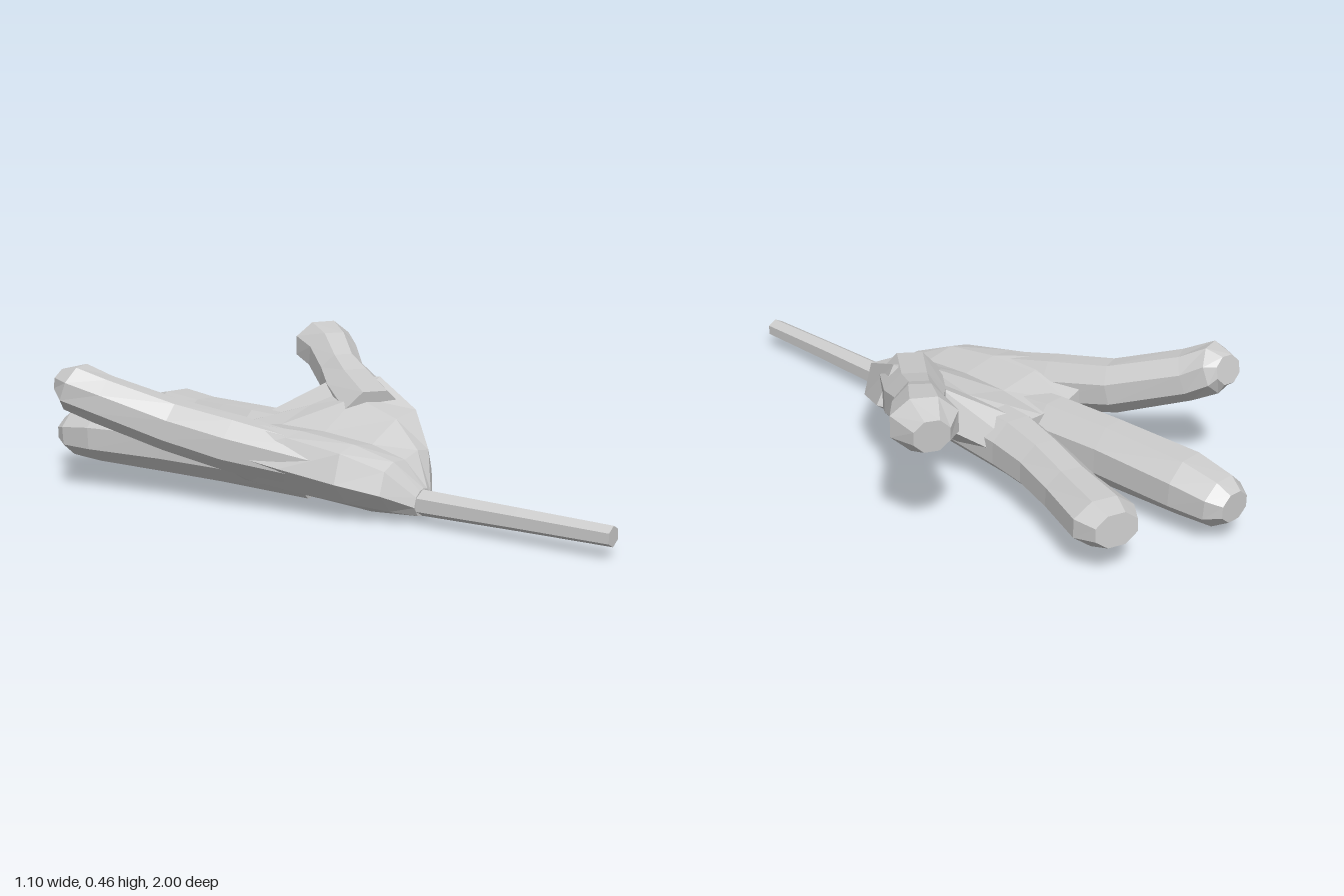
import * as THREE from 'three';

const material = new THREE.MeshStandardMaterial({ color: 0xcccccc, flatShading: true });

// Skin a list of rings (arrays of Vector3) and close both ends with fans.
function loft(name, rings) {
  const n = rings[0].length, pos = [], index = [];
  rings.forEach(r => r.forEach(p => pos.push(p.x, p.y, p.z)));
  for (let j = 0; j < rings.length - 1; j++) {
    for (let i = 0; i < n; i++) {
      const k = (i + 1) % n, a = j * n + i, b = j * n + k;
      index.push(a, a + n, b + n, a, b + n, b);
    }
  }
  [0, rings.length - 1].forEach(j => {
    const c = new THREE.Vector3();
    rings[j].forEach(p => c.addScaledVector(p, 1 / n));
    const m = pos.length / 3;
    pos.push(c.x, c.y, c.z);
    for (let i = 0; i < n; i++) {
      const a = j * n + i, b = j * n + (i + 1) % n;
      if (j === 0) index.push(m, a, b); else index.push(m, b, a);
    }
  });
  const g = new THREE.BufferGeometry();
  g.setAttribute('position', new THREE.Float32BufferAttribute(pos, 3));
  g.setIndex(index);
  g.computeVertexNormals();
  const mesh = new THREE.Mesh(g, material);
  mesh.name = name;
  return mesh;
}

// Tube with an elliptical section; each station is [x, y, z, half width, half height].
function limb(name, stations, sides = 8) {
  const c = stations.map(s => new THREE.Vector3(s[0], s[1], s[2]));
  const rings = stations.map((s, j) => {
    const t = c[Math.min(j + 1, c.length - 1)].clone().sub(c[Math.max(j - 1, 0)]).normalize();
    const right = t.clone().cross(new THREE.Vector3(0, 1, 0)).normalize();
    const up = right.clone().cross(t);
    return Array.from({ length: sides }, (_, i) => {
      const a = (i + 0.5) / sides * Math.PI * 2;
      return c[j].clone().addScaledVector(right, Math.cos(a) * s[3] * 1.05)
        .addScaledVector(up, Math.sin(a) * s[4] * 1.05);
    });
  });
  return loft(name, rings);
}

// Palm sections: [z, x/y pairs] running from the keel up the +x side and back down the -x side.
const palmSections = [
  [0.375, -0.08, 0.025, -0.05, 0.03, -0.03, 0.06, -0.04, 0.09, -0.06, 0.105, -0.08, 0.11, -0.1, 0.105, -0.12, 0.09, -0.13, 0.06, -0.11, 0.03],
  [0.3, -0.07, 0.012, 0.01, 0.05, 0.08, 0.12, 0.06, 0.19, 0.0, 0.2, -0.07, 0.185, -0.13, 0.19, -0.18, 0.17, -0.205, 0.1, -0.15, 0.04],
  [0.18, -0.07, 0.002, 0.06, 0.06, 0.2, 0.18, 0.17, 0.28, 0.06, 0.27, -0.07, 0.215, -0.17, 0.235, -0.24, 0.22, -0.27, 0.13, -0.21, 0.06],
  [0.0, -0.07, 0.01, 0.1, 0.09, 0.3, 0.24, 0.23, 0.355, 0.1, 0.31, -0.07, 0.23, -0.19, 0.255, -0.27, 0.25, -0.31, 0.16, -0.23, 0.07],
  [-0.17, -0.08, 0.02, 0.08, 0.08, 0.24, 0.23, 0.2, 0.33, 0.08, 0.265, -0.07, 0.23, -0.2, 0.255, -0.29, 0.28, -0.345, 0.19, -0.23, 0.08],
  [-0.34, -0.12, 0.04, 0.0, 0.08, 0.11, 0.14, 0.09, 0.19, 0.0, 0.21, -0.07, 0.21, -0.18, 0.22, -0.25, 0.25, -0.3, 0.2, -0.2, 0.1],
];

export function createModel() {
  const group = new THREE.Group();
  group.name = 'lobedLeaf';

  // Thick, V-shaped palm
  group.add(loft('palm', palmSections.map(([z, ...xy]) =>
    Array.from({ length: xy.length / 2 }, (_, i) => new THREE.Vector3(xy[2 * i], xy[2 * i + 1], z)))));

  // Four blunt lobes fanning out towards the back
  group.add(limb('rightOuterLobe', [
    [-0.2, 0.16, 0.1, 0.07, 0.07], [-0.275, 0.205, -0.2, 0.085, 0.085], [-0.33, 0.245, -0.4, 0.08, 0.08],
    [-0.43, 0.32, -0.6, 0.08, 0.075], [-0.473, 0.358, -0.675, 0.085, 0.075], [-0.465, 0.368, -0.725, 0.045, 0.045]]));
  group.add(limb('rightInnerLobe', [
    [-0.12, 0.12, 0, 0.09, 0.09], [-0.135, 0.135, -0.33, 0.09, 0.1], [-0.155, 0.135, -0.55, 0.088, 0.098],
    [-0.18, 0.13, -0.83, 0.1, 0.09], [-0.185, 0.12, -0.95, 0.085, 0.075], [-0.185, 0.12, -0.998, 0.055, 0.045]]));
  group.add(limb('leftInnerLobe', [
    [0.02, 0.15, 0, 0.09, 0.09], [0.045, 0.15, -0.35, 0.095, 0.09], [0.08, 0.15, -0.5, 0.085, 0.082],
    [0.125, 0.145, -0.65, 0.085, 0.075], [0.18, 0.145, -0.83, 0.1, 0.072], [0.198, 0.15, -0.895, 0.07, 0.05]]));
  group.add(limb('leftOuterLobe', [
    [0.12, 0.24, 0.05, 0.1, 0.1], [0.25, 0.285, -0.12, 0.095, 0.085], [0.32, 0.32, -0.22, 0.075, 0.08],
    [0.4, 0.365, -0.315, 0.083, 0.085], [0.465, 0.385, -0.405, 0.1, 0.08], [0.495, 0.38, -0.47, 0.055, 0.05]]));

  // Slender stem
  group.add(limb('stem', [
    [-0.065, 0.068, 1.0, 0.033, 0.03], [-0.075, 0.068, 0.7, 0.035, 0.034], [-0.085, 0.066, 0.33, 0.04, 0.04]], 6));
  return group;
}
